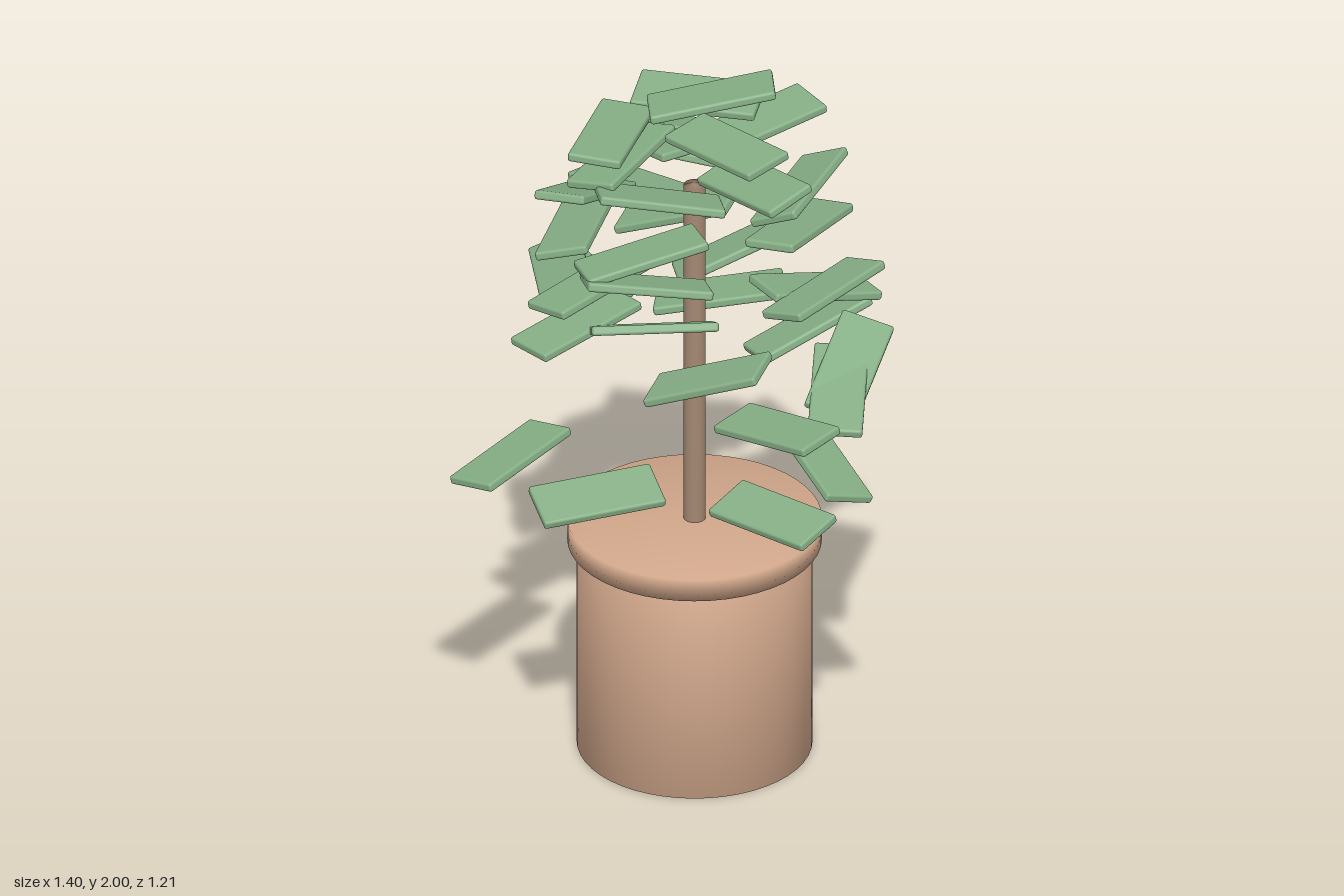
import * as THREE from 'three';
import { mergeVertices } from 'three/addons/utils/BufferGeometryUtils.js';
import { RoundedBoxGeometry } from 'three/addons/geometries/RoundedBoxGeometry.js';

const potMat = new THREE.MeshStandardMaterial({ name: 'terracotta', color: 0xd1a78b });
const trunkMat = new THREE.MeshStandardMaterial({ name: 'bark', color: 0xa48872 });
const leafMat = new THREE.MeshStandardMaterial({ name: 'leaf green', color: 0x86af86 });

// Trunk axis
const AXIS_X = 0.023;
const AXIS_Z = -0.042;

// Leaf centres x, y, z and optional forward tilt in degrees, grouped by slope towards +x
const STEEP = [
  [-0.06, 0.945, 0.42, -1], [0.51, 1.085, -0.17, -16], [-0.165, 1.34, 0.265, -17],
  [-0.19, 1.42, -0.37, -18], [0.27, 1.4, -0.19, -20], [0.21, 1.47, -0.36, -16],
  [0.29, 1.705, 0.08, -20], [0.03, 1.865, 0.22],
];
const GENTLE = [
  [-0.52, 1.03, -0.16], [-0.42, 0.985, 0.1, 15], [0.28, 1.155, 0.27, 12],
  [0.355, 1.18, 0.22, 24], [0.42, 1.31, 0.02, -16], [0.3, 1.2, -0.3],
  [-0.045, 1.21, 0.42], [-0.07, 1.31, -0.42], [-0.37, 1.44, -0.06, -2],
  [-0.31, 1.54, -0.07], [-0.23, 1.61, -0.25, -14], [-0.23, 1.655, 0.05],
  [0.26, 1.86, -0.06, 0], [0.17, 1.9, -0.22, 5], [-0.17, 1.87, -0.12],
  [0.01, 1.945, 0.12, -3], [0.14, 1.95, -0.12],
];
const LEVEL = [
  [0.29, 1.585, 0.08], [0.06, 1.59, -0.38], [0.02, 1.81, -0.25], [-0.16, 1.91, -0.18, 0],
];
const FALLING = [
  [0.12, 1.05, 0.41, 14], [0.475, 1.25, -0.09, 0], [-0.22, 1.44, 0.09, -24],
  [-0.25, 1.59, 0.1], [0.25, 1.66, -0.28, -4], [-0.24, 1.755, -0.19, -15],
  [0.17, 1.78, -0.27], [-0.19, 1.83, 0.08, -5],
];

// Cylinder shaded smoothly over its edges
function softCylinder(radius, height) {
  const geometry = new THREE.CylinderGeometry(radius, radius, height, 48);
  geometry.deleteAttribute('uv');
  geometry.deleteAttribute('normal');
  const merged = mergeVertices(geometry);
  merged.computeVertexNormals();
  return merged;
}

export function createModel() {
  const plant = new THREE.Group();
  plant.name = 'pottedTree';
  const add = (name, geometry, material, parent) => {
    const mesh = new THREE.Mesh(geometry, material);
    mesh.name = name;
    parent.add(mesh);
    return mesh;
  };

  // Pot, rim and trunk share one axis
  const stand = new THREE.Group();
  stand.name = 'potAndTrunk';
  stand.position.set(AXIS_X, 0, AXIS_Z);
  plant.add(stand);
  add('pot', softCylinder(0.323, 0.64), potMat, stand).position.y = 0.32;
  add('potRim', softCylinder(0.349, 0.066), potMat, stand).position.y = 0.669;
  add('trunk', softCylinder(0.03, 1.06), trunkMat, stand).position.y = 1.22;

  // Flat rounded leaves, turned by their angle around the trunk
  const foliage = new THREE.Group();
  foliage.name = 'foliage';
  plant.add(foliage);
  const leafShape = new RoundedBoxGeometry(0.35, 0.026, 0.15, 2, 0.008);
  const rad = THREE.MathUtils.degToRad;
  const addLeaves = (leaves, slope) => {
    for (const [x, y, z, tilt = -9] of leaves) {
      const turn = Math.atan2(z - AXIS_Z, x - AXIS_X);
      const leaf = add('leaf', leafShape, leafMat, foliage);
      leaf.position.set(x, y, z);
      leaf.rotation.set(rad(tilt), turn, rad(slope), 'XZY');
    }
  };
  addLeaves(STEEP, 15);
  addLeaves(GENTLE, 7);
  addLeaves(LEVEL, -3);
  addLeaves(FALLING, -15);
  return plant;
}
